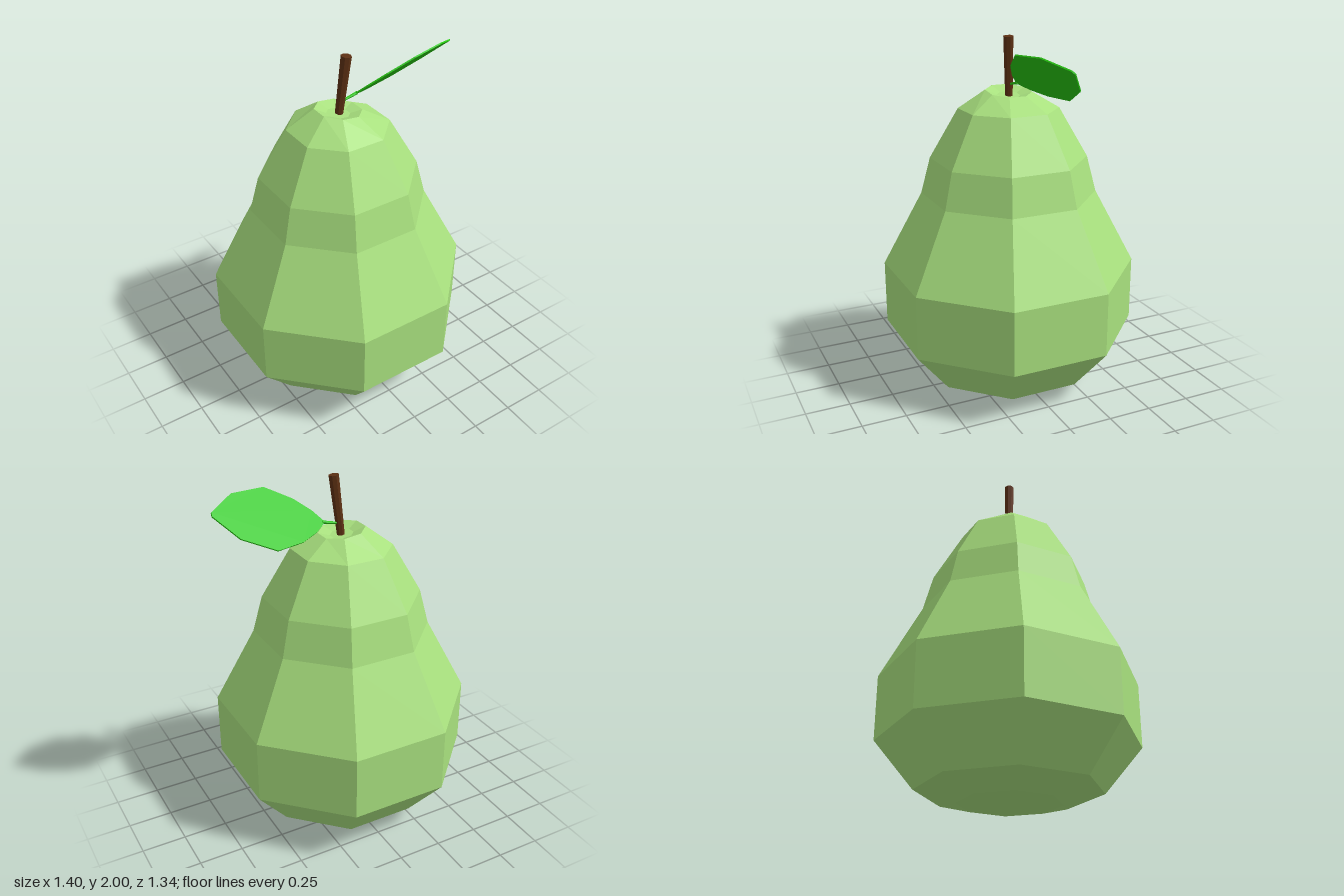
import * as THREE from 'three';

const pearGreen = new THREE.MeshStandardMaterial({ color: 0xa8e07e });
pearGreen.name = 'pear green';
const leafGreen = new THREE.MeshStandardMaterial({ color: 0x27c810 });
leafGreen.name = 'leaf green';
const stemBrown = new THREE.MeshStandardMaterial({ color: 0x5c3013 });
stemBrown.name = 'stem brown';

// Gives every face its own flat normal
function faceted(geometry) {
  const flat = geometry.index ? geometry.toNonIndexed() : geometry;
  flat.computeVertexNormals();
  return flat;
}

function part(name, geometry, material) {
  const mesh = new THREE.Mesh(faceted(geometry), material);
  mesh.name = name;
  return mesh;
}

// Tapered round bar between two points
function bar(from, to, r0, r1, sides) {
  const a = new THREE.Vector3(...from), b = new THREE.Vector3(...to);
  const dir = b.clone().sub(a);
  const geometry = new THREE.CylinderGeometry(r1, r0, dir.length(), sides);
  geometry.applyQuaternion(new THREE.Quaternion().setFromUnitVectors(
    new THREE.Vector3(0, 1, 0), dir.normalize()));
  const mid = a.add(b).multiplyScalar(0.5);
  return geometry.translate(mid.x, mid.y, mid.z);
}

// Eight-sided body; profile is [distance to flat side, height]
function bodyGeometry() {
  const profile = [[0, 0], [0.26, 0], [0.47, 0.065], [0.67, 0.325], [0.67, 0.69],
    [0.46, 1.115], [0.41, 1.32], [0.26, 1.6], [0.12, 1.695], [0.06, 1.672], [0, 1.67]];
  const points = profile.map(([r, y]) => new THREE.Vector2(r / Math.cos(Math.PI / 8), y));
  const geometry = new THREE.LatheGeometry(points, 8, Math.PI / 8);
  // The rim of the hollow leans down toward the leaf
  const p = geometry.attributes.position;
  for (let i = 0; i < p.count; i++) {
    if (p.getY(i) > 1.65) p.setY(i, p.getY(i) - 0.125 * p.getX(i));
  }
  return geometry.translate(-0.03, 0, 0);
}

// Thin leaf plate, outlined by [distance along, half width], then tilted
function leafGeometry() {
  const half = [[0, 0.008], [0.056, 0.066], [0.154, 0.132], [0.313, 0.19],
    [0.508, 0.133], [0.637, 0.012]];
  const outline = [...half, ...half.map(([s, w]) => [s, -w]).reverse()];
  const shape = new THREE.Shape(outline.map(([s, w]) => new THREE.Vector2(s, w)));
  const geometry = new THREE.ExtrudeGeometry(shape, { depth: 0.008, bevelEnabled: false });
  geometry.translate(0, 0, -0.004);
  const along = new THREE.Vector3(0.62, 0.145, 0).normalize();
  const normal = along.clone().cross(new THREE.Vector3(-0.13, 0.64, 0.752)).normalize();
  const across = normal.clone().cross(along);
  const tilt = new THREE.Matrix4().makeBasis(along, across, normal);
  return geometry.applyMatrix4(tilt.setPosition(0.08, 1.755, 0));
}

export function createModel() {
  const pear = new THREE.Group();
  pear.name = 'pear';
  pear.add(part('body', bodyGeometry(), pearGreen));
  pear.add(part('stem', bar([-0.026, 1.66, 0], [0.008, 1.997, 0.019], 0.022, 0.029, 8), stemBrown));

  const leaf = new THREE.Group();
  leaf.name = 'leaf';
  leaf.add(part('leafBlade', leafGeometry(), leafGreen));
  leaf.add(part('leafStalk', bar([-0.02, 1.733, 0.002], [0.09, 1.757, 0], 0.006, 0.009, 6), leafGreen));
  pear.add(leaf);
  return pear;
}
